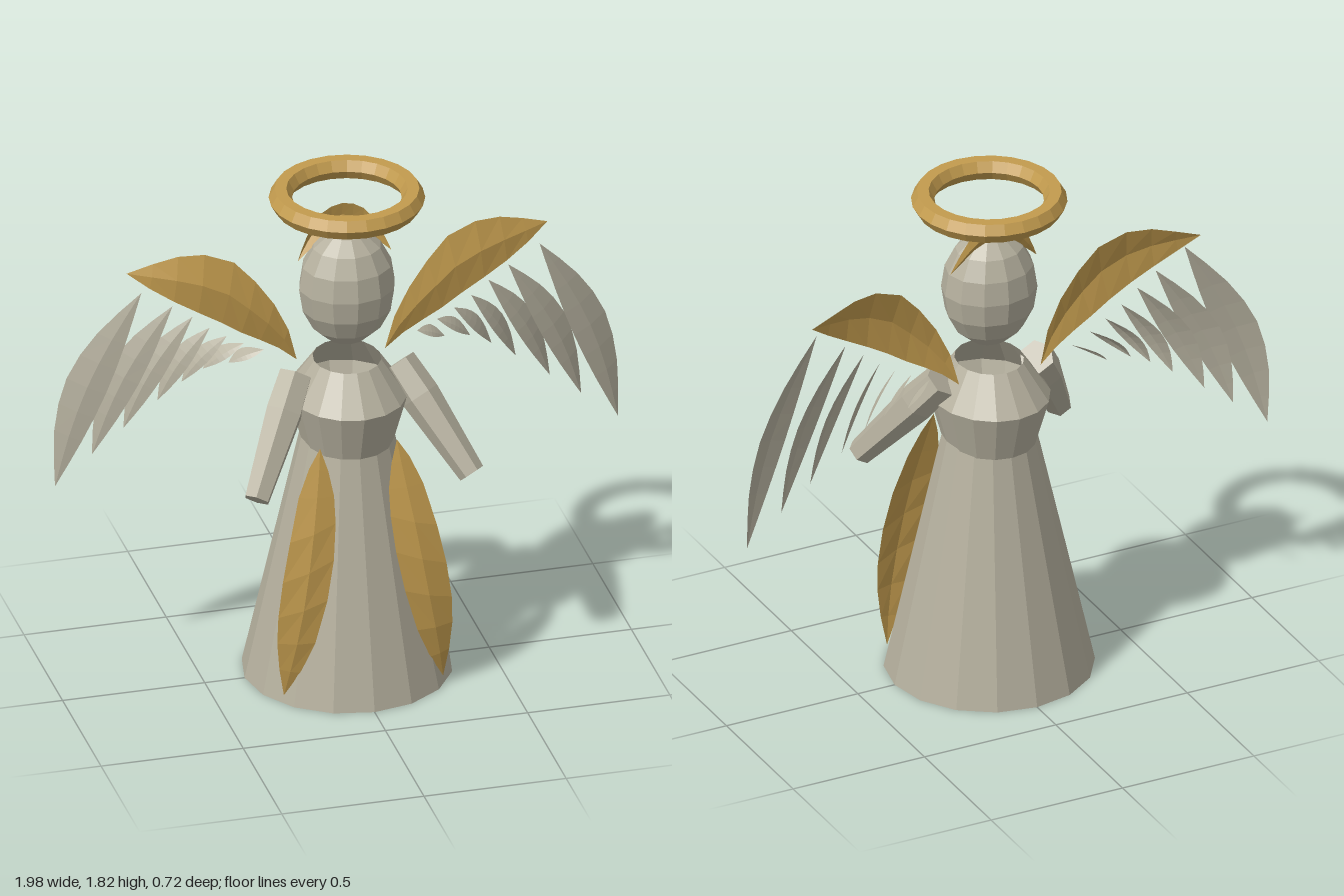
import * as THREE from 'three';

const stone = new THREE.MeshStandardMaterial({ color: 0xb5b09e, flatShading: true, side: THREE.DoubleSide });
stone.name = 'stone grey';
const gold = new THREE.MeshStandardMaterial({ color: 0xc29b4e, flatShading: true, side: THREE.DoubleSide });
gold.name = 'old gold';

const V = (p) => new THREE.Vector3(...p);

// Curved leaf between two edges that share both end points; the middle rib is pushed along z.
function leaf(name, mat, edgeA, edgeB, bulge, side = 1, steps = 8) {
  const a = new THREE.CatmullRomCurve3(edgeA.map(V));
  const b = new THREE.CatmullRomCurve3(edgeB.map(V));
  const pos = [], index = [];
  for (let i = 0; i <= steps; i++) {
    const t = i / steps;
    const p = a.getPoint(t), q = b.getPoint(t);
    const m = p.clone().lerp(q, 0.5);
    m.z += bulge * Math.sin(Math.PI * t);
    for (const v of [p, m, q]) pos.push(v.x * side, v.y, v.z);
    if (i === steps) continue;
    for (let k = 0; k < 2; k++) {
      const c = i * 3 + k, d = c + 3;
      if (side > 0) index.push(c, d, c + 1, c + 1, d, d + 1);
      else index.push(c, c + 1, d, c + 1, d + 1, d);
    }
  }
  const g = new THREE.BufferGeometry();
  g.setAttribute('position', new THREE.Float32BufferAttribute(pos, 3));
  g.setIndex(index);
  g.computeVertexNormals();
  const mesh = new THREE.Mesh(g, mat);
  mesh.name = name;
  return mesh;
}

// Surface turned from [radius, y] points.
function turned(name, mat, profile, sides) {
  const g = new THREE.LatheGeometry(profile.map(([r, y]) => new THREE.Vector2(r, y)), sides);
  const mesh = new THREE.Mesh(g, mat);
  mesh.name = name;
  return mesh;
}

// Long feather: a chord from base to tip, bowed outwards.
function feather(base, tip, side) {
  const dx = tip[0] - base[0], dy = tip[1] - base[1];
  const edge = (bow, dz) => [0, 0.25, 0.5, 0.75, 1].map((t) => {
    const s = Math.sin(Math.PI * t);
    return [base[0] + dx * t - dy * bow * s, base[1] + dy * t + dx * bow * s,
      -0.085 - 0.05 * t + dz * s];
  });
  return leaf('wingFeather', stone, edge(0.14, -0.035), edge(-0.03, 0.02), 0.012, side);
}

export function createModel() {
  const model = new THREE.Group();
  model.name = 'angel';

  // Gown and open-necked bodice
  model.add(turned('skirt', stone, [[0.36, 0], [0.16, 0.9]], 16));
  const bodice = turned('bodice', stone, [[0.165, 0.875], [0.215, 1.05], [0.122, 1.18]], 16);
  bodice.scale.set(0.95, 1, 1.07);
  model.add(bodice);

  // Head
  const head = new THREE.Mesh(new THREE.SphereGeometry(1, 12, 8), stone);
  head.name = 'head';
  head.scale.set(0.168, 0.215, 0.15);
  head.position.y = 1.455;
  model.add(head);

  // Crescent headpiece
  model.add(leaf('headpiece', gold,
    [[-0.165, 1.55, -0.03], [-0.13, 1.63, -0.045], [-0.075, 1.71, -0.055], [0, 1.74, -0.055],
      [0.075, 1.71, -0.055], [0.13, 1.63, -0.045], [0.165, 1.55, -0.03]],
    [[-0.165, 1.55, -0.03], [-0.12, 1.59, -0.035], [-0.07, 1.625, -0.035], [0, 1.64, -0.035],
      [0.07, 1.625, -0.035], [0.12, 1.59, -0.035], [0.165, 1.55, -0.03]], -0.02, 1, 12));

  // Halo
  const halo = new THREE.Mesh(new THREE.TorusGeometry(0.226, 0.04, 6, 24), gold);
  halo.name = 'halo';
  halo.rotation.x = Math.PI / 2;
  halo.position.y = 1.79;
  model.add(halo);

  const bases = [[0.7, 1.475], [0.59, 1.41], [0.52, 1.36], [0.46, 1.31], [0.4, 1.27], [0.34, 1.235], [0.27, 1.2]];
  const tips = [[0.99, 0.75], [0.86, 0.855], [0.75, 0.94], [0.63, 1.03], [0.545, 1.09], [0.47, 1.13], [0.38, 1.14]];

  for (const side of [1, -1]) {
    const label = side > 0 ? 'left' : 'right';

    // Arm, reaching down and forwards
    const from = new THREE.Vector3(0.18 * side, 1.135, 0);
    const to = new THREE.Vector3(0.378 * side, 0.795, 0.225);
    const dir = to.clone().sub(from);
    const len = dir.length();
    const arm = turned(label + 'Arm', stone,
      [[0, len], [0.046, len], [0.068, len * 0.3], [0.062, 0], [0, 0]].reverse(), 6);
    arm.position.copy(from);
    arm.quaternion.setFromUnitVectors(new THREE.Vector3(0, 1, 0), dir.normalize());
    model.add(arm);

    // Wing: gold covert over a fan of feathers
    const wing = new THREE.Group();
    wing.name = label + 'Wing';
    wing.add(leaf('wingCovert', gold,
      [[0.155, 1.15, -0.08], [0.2, 1.31, -0.07], [0.28, 1.44, -0.07], [0.375, 1.55, -0.08],
        [0.51, 1.592, -0.095], [0.62, 1.57, -0.115], [0.74, 1.532, -0.13]],
      [[0.155, 1.15, -0.08], [0.24, 1.22, -0.075], [0.33, 1.27, -0.07], [0.42, 1.33, -0.07],
        [0.53, 1.395, -0.075], [0.64, 1.46, -0.095], [0.74, 1.532, -0.13]], 0.018, side));
    bases.forEach((b, i) => wing.add(feather(b, tips[i], side)));
    model.add(wing);

    // Gown panel
    model.add(leaf(label + 'GownPanel', gold,
      [[0.135, 0.92, 0.15], [0.2, 0.81, 0.17], [0.265, 0.58, 0.22], [0.303, 0.36, 0.235],
        [0.306, 0.2, 0.23], [0.28, 0.03, 0.215]],
      [[0.135, 0.92, 0.15], [0.1, 0.79, 0.18], [0.098, 0.64, 0.215], [0.13, 0.42, 0.25],
        [0.2, 0.18, 0.25], [0.28, 0.03, 0.215]], 0.015, side));
  }
  return model;
}
